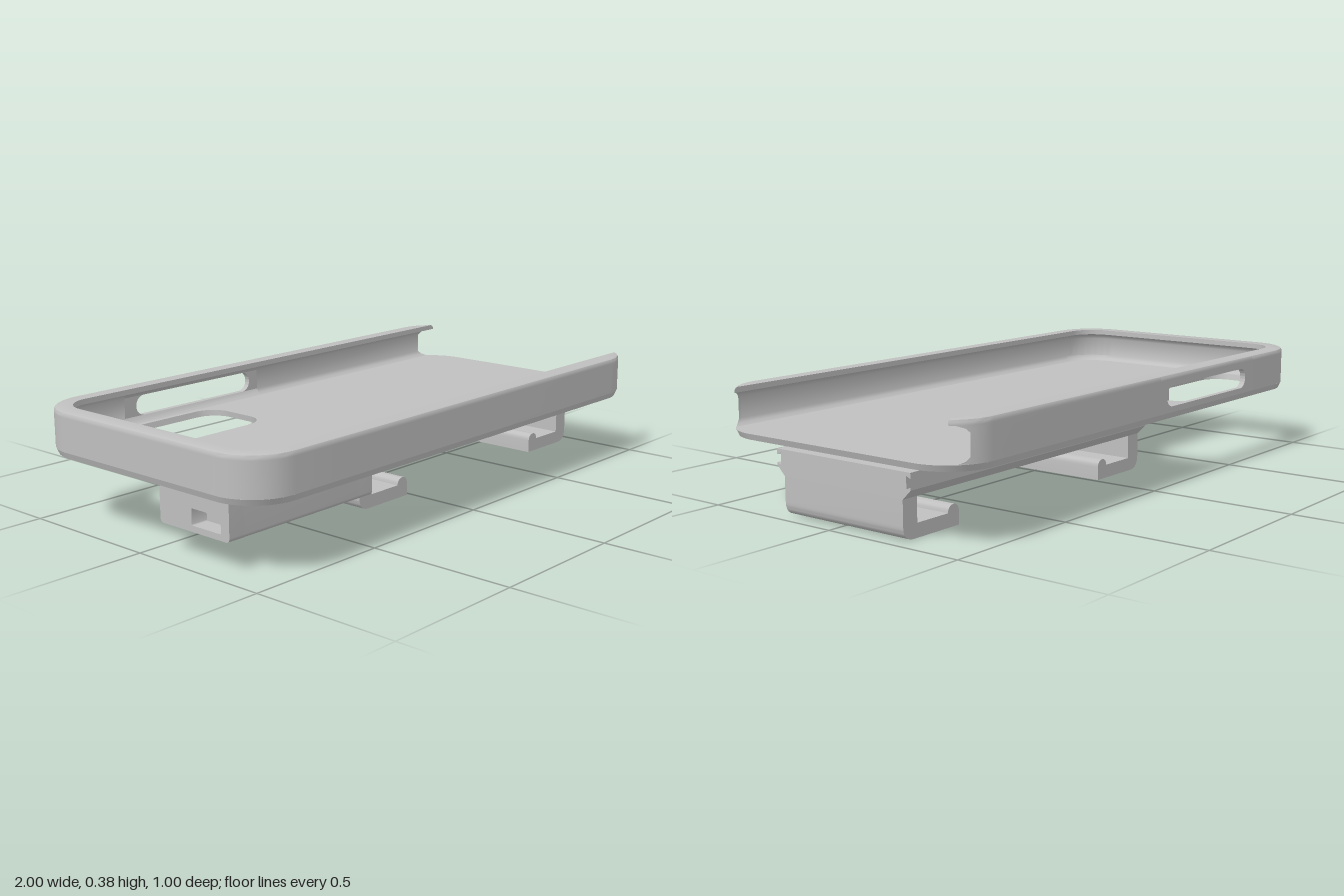
import * as THREE from 'three';
import { toCreasedNormals } from 'three/addons/utils/BufferGeometryUtils.js';

const R = 0.16; // corner radius of the case outline
const grey = new THREE.MeshStandardMaterial({ color: 0xbfbfbf });
grey.name = 'light grey';

function add(group, name, geometry) {
  const flat = geometry.index ? geometry.toNonIndexed() : geometry;
  const mesh = new THREE.Mesh(toCreasedNormals(flat, 0.6), grey);
  mesh.name = name;
  group.add(mesh);
  return mesh;
}

// Rounded rectangle on a Shape or Path
function roundRect(p, x0, y0, x1, y1, r) {
  p.moveTo(x0 + r, y0);
  p.lineTo(x1 - r, y0);
  p.absarc(x1 - r, y0 + r, r, -Math.PI / 2, 0);
  p.lineTo(x1, y1 - r);
  p.absarc(x1 - r, y1 - r, r, 0, Math.PI / 2);
  p.lineTo(x0 + r, y1);
  p.absarc(x0 + r, y1 - r, r, Math.PI / 2, Math.PI);
  p.lineTo(x0, y0 + r);
  p.absarc(x0 + r, y0 + r, r, Math.PI, Math.PI * 1.5);
  return p;
}

const extrude = (shape, depth) =>
  new THREE.ExtrudeGeometry(shape, { depth, bevelEnabled: false, curveSegments: 10 });

// Extrude a (-z, y) section along x
const extrudeX = (shape, x0, x1) =>
  extrude(shape, x1 - x0).rotateY(Math.PI / 2).translate(x0, 0, 0);

// Outer and inner wall lines at one height; both run out at the open +x end
function wallRing([y, e, d]) {
  const outer = [], inner = [];
  const r = R - e, ri = R - d, c = 1 - R, cz = 0.5 - R;
  const t0 = Math.acos(ri / r), xEnd = c + r * Math.sin(t0);
  for (let i = 0; i <= 6; i++) {
    const t = t0 * (1 - i / 6);
    outer.push([c + r * Math.sin(t), cz + r * Math.cos(t)]);
    inner.push([xEnd + (c - xEnd) * i / 6, cz + ri]);
  }
  for (const x of [-0.03, -0.65]) {
    outer.push([x, cz + r]);
    inner.push([x, cz + ri]);
  }
  for (let i = 0; i <= 8; i++) {
    const t = Math.PI / 2 * i / 8;
    outer.push([-c - r * Math.sin(t), cz + r * Math.cos(t)]);
    inner.push([-c - ri * Math.sin(t), cz + ri * Math.cos(t)]);
  }
  const full = (a) => [...a, ...a.slice().reverse().map(([x, z]) => [x, -z])]
    .map(([x, z]) => [x, y, z]);
  return { outer: full(outer), inner: full(inner) };
}

// Loft the wall through its heights, between two stations of the path
function wallLoft(levels, from, to) {
  const rings = levels.map(wallRing), pos = [];
  const quad = (a, b, c, d) => pos.push(...a, ...b, ...c, ...a, ...c, ...d);
  const top = rings[rings.length - 1], bottom = rings[0];
  for (let i = from; i < to; i++) {
    for (let j = 0; j < rings.length - 1; j++) {
      const p = rings[j], q = rings[j + 1];
      quad(p.outer[i + 1], p.outer[i], q.outer[i], q.outer[i + 1]);
      quad(p.inner[i], p.inner[i + 1], q.inner[i + 1], q.inner[i]);
    }
    quad(top.outer[i + 1], top.outer[i], top.inner[i], top.inner[i + 1]);
    quad(bottom.outer[i], bottom.outer[i + 1], bottom.inner[i + 1], bottom.inner[i]);
  }
  const g = new THREE.BufferGeometry();
  g.setAttribute('position', new THREE.Float32BufferAttribute(pos, 3));
  return g;
}

export function createModel() {
  const model = new THREE.Group();
  model.name = 'phoneCaseWithRailMount';

  // Case floor with camera opening and a slightly tucked lower edge
  const floorShape = roundRect(new THREE.Shape(), -1, -0.5, 1, 0.5, R);
  floorShape.holes.push(roundRect(new THREE.Path(), -0.94, 0.17, -0.29, 0.44, 0.08));
  const floor = extrude(floorShape, 0.02).rotateX(-Math.PI / 2).translate(0, 0.23, 0);
  const fp = floor.attributes.position;
  for (let i = 0; i < fp.count; i++) {
    if (fp.getY(i) < 0.235) fp.setXYZ(i, fp.getX(i) * 0.993, 0.23, fp.getZ(i) * 0.986);
  }
  add(model, 'caseFloor', floor);

  // Case wall: height, outer inset, inner inset
  const levels = [
    [0.25, 0, 0.042], [0.258, 0, 0.028], [0.27, 0, 0.02], [0.34, 0, 0.02],
    [0.352, 0, 0.027], [0.36, 0, 0.043], [0.362, 0, 0.06], [0.37, 0, 0.06],
    [0.377, 0.004, 0.06], [0.38, 0.011, 0.06],
  ];
  add(model, 'caseWall', wallLoft(levels, 0, 27));
  add(model, 'caseWallBackEnd', wallLoft(levels, 28, 35));
  add(model, 'wallBelowButtons', wallLoft(levels.slice(0, 3), 27, 28));
  add(model, 'wallAboveButtons', wallLoft(levels.slice(3), 27, 28));

  // Straight wall panel with the button slot
  const panel = new THREE.Shape();
  panel.moveTo(-0.65, 0.25);
  panel.lineTo(-0.03, 0.25);
  panel.lineTo(-0.03, 0.355);
  panel.lineTo(-0.65, 0.355);
  panel.holes.push(roundRect(new THREE.Path(), -0.6, 0.27, -0.07, 0.34, 0.034));
  add(model, 'buttonSlotPanel', extrude(panel, 0.02).translate(0, 0, -0.5));

  // Accessory box under the case, with a recessed port in each end
  const boxShape = () => roundRect(new THREE.Shape(), -0.33, 0.09, -0.03, 0.235, 0.014);
  const portShape = boxShape();
  portShape.holes.push(roundRect(new THREE.Path(), -0.295, 0.11, -0.17, 0.163, 0.004));
  add(model, 'boxBody', extrudeX(boxShape(), -0.88, -0.38));
  add(model, 'boxEndRight', extrudeX(portShape, -0.94, -0.88));
  add(model, 'boxEndLeft', extrudeX(portShape, -0.38, -0.315));

  // Mounting plate between case and rail
  const plate = new THREE.BoxGeometry(1.13, 0.03, 0.588).translate(0.325, 0.222, 0);
  add(model, 'mountingPlate', plate);

  // Grooved rail, symmetric section
  const side = [
    [0.245, 0.125], [0.276, 0.156], [0.276, 0.165], [0.26, 0.158],
    [0.26, 0.197], [0.276, 0.19], [0.276, 0.208],
  ];
  const section = [...side, ...side.slice().reverse().map(([z, y]) => [-z, y])];
  const railShape = new THREE.Shape(section.map(([z, y]) => new THREE.Vector2(z, y)));
  add(model, 'rail', extrudeX(railShape, -0.26, 0.96)).position.z = -0.017;

  // Hooked clips at both ends of the rail
  for (const [name, mirrored] of [['clipRight', false], ['clipLeft', true]]) {
    const m = (x) => (mirrored ? 0.7 - x : x);
    const s = new THREE.Shape();
    s.moveTo(m(-0.26), 0.13);
    s.lineTo(m(-0.26), 0.045);
    s.quadraticCurveTo(m(-0.26), 0, m(-0.215), 0);
    s.lineTo(m(-0.015), 0);
    s.lineTo(m(-0.015), 0.045);
    s.bezierCurveTo(m(-0.015), 0.077, m(-0.065), 0.077, m(-0.065), 0.045);
    s.lineTo(m(-0.2), 0.045);
    s.lineTo(m(-0.2), 0.13);
    add(model, name, extrude(s, 0.49).translate(0, 0, -0.262));
  }
  return model;
}
